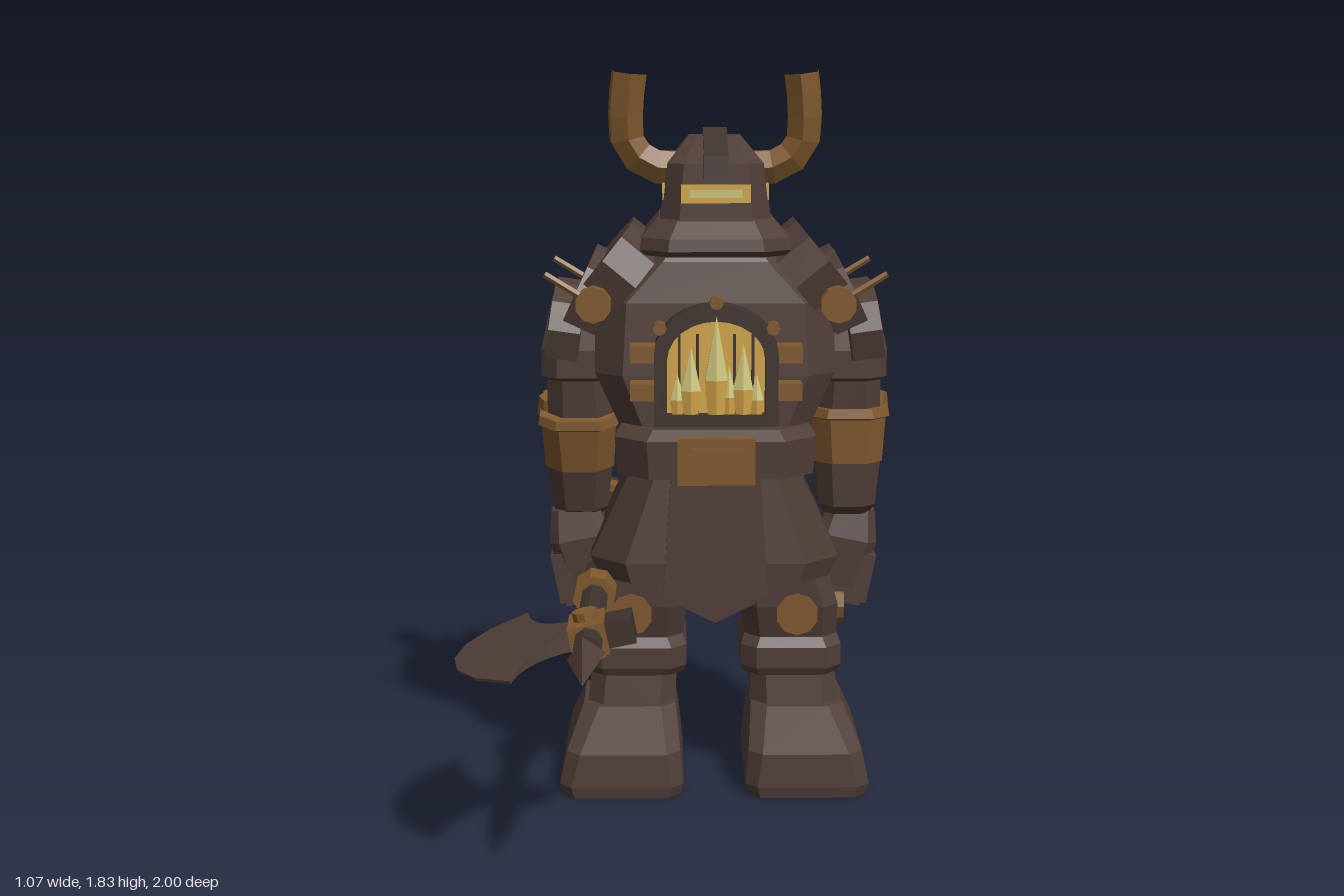
import * as THREE from 'three';

const mat = (name, color) => Object.assign(new THREE.MeshStandardMaterial({ color, flatShading: true }), { name });

export function createModel() {
  const iron = mat('dark iron', 0x503e38), shade = mat('shadow iron', 0x40332e);
  const bronze = mat('bronze', 0x80592e), gold = mat('fire gold', 0xd3a54a), pale = mat('pale flame', 0xcbc27a);
  const skirtMat = mat('skirt iron', 0x4d3b35);
  skirtMat.side = THREE.DoubleSide;
  const model = new THREE.Group();
  const body = new THREE.Group();
  body.name = 'body';
  body.position.x = 0.085;
  model.add(body);

  const add = (parent, name, geo, m, x = 0, y = 0, z = 0) => {
    const mesh = new THREE.Mesh(geo, m);
    mesh.name = name;
    mesh.position.set(x, y, z);
    parent.add(mesh);
    return mesh;
  };
  const box = (p, name, m, w, h, d, x, y, z) => add(p, name, new THREE.BoxGeometry(w, h, d), m, x, y, z);
  const cyl = (r1, r2, h, n = 8) => new THREE.CylinderGeometry(r1, r2, h, n);

  // Stacked chamfered rectangles; each row is [y, halfWidth, zFront, zBack, chamfer, centreX]
  const loft = (rows, caps = true) => {
    const pos = [], idx = [];
    for (const [y, w, f, b, c, cx = 0] of rows)
      for (const [x, z] of [[c - w, f], [w - c, f], [w, f - c], [w, b + c], [w - c, b], [c - w, b], [-w, b + c], [-w, f - c]])
        pos.push(cx + x, y, z);
    for (let k = 0; k < rows.length - 1; k++)
      for (let i = 0; i < 8; i++) {
        const a = k * 8 + i, b = k * 8 + (i + 1) % 8;
        idx.push(a, b, b + 8, a, b + 8, a + 8);
      }
    const t = (rows.length - 1) * 8;
    if (caps) for (let i = 1; i < 7; i++) idx.push(t, t + i, t + i + 1, 0, i + 1, i);
    const g = new THREE.BufferGeometry();
    g.setAttribute('position', new THREE.Float32BufferAttribute(pos, 3));
    g.setIndex(idx);
    const flat = g.toNonIndexed();
    flat.computeVertexNormals();
    return flat;
  };
  const poly = pts => new THREE.Shape(pts.map(p => new THREE.Vector2(...p)));
  const slab = (shape, depth, bevel = 0) => new THREE.ExtrudeGeometry(shape, {
    depth, bevelEnabled: bevel > 0, bevelSize: bevel, bevelThickness: bevel, bevelSegments: 1, curveSegments: 6 });
  // Both sides from one builder: +x is the model's left
  const pair = (name, build) => [1, -1].forEach(s => {
    const g = new THREE.Group();
    g.name = (s > 0 ? 'left' : 'right') + name;
    g.scale.x = s;
    body.add(g);
    build(g, s);
  });

  // Torso, collar and back plate
  add(body, 'torso', loft([[0.78, 0.2, 0.17, -0.17, 0.05], [0.95, 0.24, 0.19, -0.19, 0.06], [1.08, 0.3, 0.19, -0.22, 0.07],
    [1.26, 0.3, 0.18, -0.22, 0.08], [1.36, 0.2, 0.16, -0.19, 0.07], [1.42, 0.14, 0.13, -0.14, 0.05]]), iron);
  add(body, 'collar', loft([[1.375, 0.175, 0.2, -0.16, 0.06], [1.39, 0.187, 0.225, -0.18, 0.07],
    [1.42, 0.183, 0.22, -0.18, 0.07], [1.47, 0.14, 0.17, -0.14, 0.05]]), iron);
  add(body, 'backPlate', slab(poly([[-0.13, 0.95], [0.13, 0.95], [0.16, 1.02], [0.16, 1.23], [0.11, 1.31], [-0.11, 1.31],
    [-0.16, 1.23], [-0.16, 1.02]]), 0.04, 0.015), iron, 0, 0, -0.245);

  // Helmet with crest and glowing visor
  add(body, 'helmet', loft([[1.43, 0.142, 0.18, -0.14, 0.05], [1.6, 0.118, 0.175, -0.13, 0.04], [1.665, 0.065, 0.05, -0.06, 0.02]]), iron);
  const crest = add(body, 'crest', slab(poly([[-0.187, 1.565], [-0.183, 1.62], [-0.04, 1.685], [0.04, 1.675], [0.04, 1.6]]), 0.06), shade, -0.03);
  crest.rotation.y = Math.PI / 2;
  box(body, 'visor', gold, 0.17, 0.045, 0.012, 0, 1.528, 0.178);
  box(body, 'visorGlow', pale, 0.13, 0.02, 0.012, 0, 1.528, 0.181);
  pair('VisorSide', g => box(g, 'visorSide', gold, 0.01, 0.04, 0.06, 0.126, 1.53, 0.105));

  // Horns: square sections swept along a curve
  pair('Horn', g => {
    const path = new THREE.CatmullRomCurve3([[0.09, 1.585, 0.055], [0.16, 1.593, 0.06], [0.213, 1.64, 0.065],
      [0.222, 1.72, 0.075], [0.212, 1.82, 0.085]].map(p => new THREE.Vector3(...p)));
    add(g, 'horn', new THREE.TubeGeometry(path, 6, 0.047, 6), bronze);
    const tip = add(g, 'hornTip', new THREE.CircleGeometry(0.047, 6), bronze, 0.212, 1.82, 0.085);
    tip.rotation.x = -Math.PI / 2;
  });

  // Furnace window in the chest
  const arch = (Path, w, y0, y1) => {
    const p = new Path();
    p.moveTo(-w, y0);
    p.lineTo(w, y0);
    p.lineTo(w, y1 - w * 0.8);
    p.absellipse(0, y1 - w * 0.8, w, w * 0.8, 0, Math.PI, false);
    p.lineTo(-w, y0);
    return p;
  };
  const frame = arch(THREE.Shape, 0.152, 0.965, 1.265);
  frame.holes.push(arch(THREE.Path, 0.12, 0.995, 1.225));
  add(body, 'windowFrame', slab(frame, 0.11), shade, 0, 0, 0.15);
  add(body, 'windowGlow', slab(arch(THREE.Shape, 0.125, 0.99, 1.23), 0.01), gold, 0, 0, 0.215);
  for (const x of [-0.09, -0.045, 0, 0.045, 0.09]) box(body, 'windowBar', shade, 0.007, 0.2, 0.01, x, 1.09, 0.23);
  [[0, 0.24, 0.032], [-0.062, 0.165, 0.028], [0.065, 0.175, 0.028], [-0.095, 0.1, 0.02], [0.098, 0.1, 0.02], [0.03, 0.12, 0.022]]
    .forEach(([x, h, r]) => {
      const base = add(body, 'flameBase', cyl(r, r * 0.75, h * 0.35, 6), gold, x, 1 + h * 0.175, 0.27);
      const top = add(body, 'flameTip', cyl(0, r, h * 0.65, 6), pale, x, 1 + h * 0.675, 0.27);
      base.scale.z = top.scale.z = 0.75;
    });
  for (const [x, y] of [[0, 1.27], [-0.138, 1.208], [0.138, 1.208]])
    add(body, 'rivet', cyl(0.017, 0.017, 0.03), bronze, x, y, 0.25).rotation.x = Math.PI / 2;
  pair('Straps', g => [1.05, 1.143].forEach(y => box(g, 'strap', bronze, 0.075, 0.042, 0.09, 0.173, y, 0.21)));

  // Belt, buckle, tabards and skirt
  add(body, 'belt', loft([[0.835, 0.245, 0.265, -0.21, 0.08], [0.93, 0.25, 0.27, -0.215, 0.08], [0.955, 0.235, 0.24, -0.2, 0.08]]), iron);
  box(body, 'buckle', bronze, 0.19, 0.115, 0.04, 0, 0.885, 0.28);
  box(body, 'buckleFace', bronze, 0.13, 0.07, 0.03, 0, 0.885, 0.297);
  const tabard = poly([[-0.13, 0.53], [0, 0.465], [0.13, 0.53], [0.11, 0.86], [-0.11, 0.86]]);
  add(body, 'frontTabard', slab(tabard, 0.03), iron, 0, 0, 0.215);
  add(body, 'backTabard', slab(tabard, 0.03), iron, 0, 0, -0.22);
  add(body, 'skirt', loft([[0.56, 0.29, 0.22, -0.2, 0.08], [0.61, 0.315, 0.22, -0.2, 0.09], [0.86, 0.2, 0.19, -0.18, 0.06]], false), skirtMat);

  // Legs
  pair('Leg', g => {
    add(g, 'thigh', loft([[0.36, 0.118, 0.09, -0.16, 0.04, 0.2], [0.47, 0.125, 0.12, -0.16, 0.04, 0.195],
      [0.82, 0.09, 0.13, -0.14, 0.04, 0.13]]), iron);
    add(g, 'shin', loft([[0.17, 0.115, 0.09, -0.155, 0.04, 0.215], [0.31, 0.11, 0.07, -0.15, 0.04, 0.205]]), iron);
    add(g, 'greave', loft([[0.285, 0.122, 0.105, -0.165, 0.04, 0.2], [0.305, 0.13, 0.115, -0.175, 0.04, 0.2],
      [0.36, 0.13, 0.115, -0.175, 0.04, 0.2], [0.385, 0.12, 0.1, -0.165, 0.04, 0.2]]), iron);
    add(g, 'boot', loft([[0, 0.15, 0.235, -0.165, 0.03, 0.237], [0.03, 0.158, 0.24, -0.17, 0.03, 0.237],
      [0.115, 0.145, 0.235, -0.168, 0.035, 0.232], [0.2, 0.12, 0.105, -0.155, 0.04, 0.218]]), iron);
    add(g, 'kneeDisc', cyl(0.055, 0.055, 0.29, 10), bronze, 0.213, 0.452, -0.02).rotation.x = Math.PI / 2;
    add(g, 'kneeCap', cyl(0.055, 0.055, 0.05, 10), bronze, 0.315, 0.45, -0.01).rotation.z = Math.PI / 2;
  });

  // Arms with layered shoulder plates
  pair('Arm', (g, s) => {
    // [x, y, tilt in degrees, height, thickness, half depth]
    [[0.245, 1.24, 39.5, 0.19, 0.105, 0.205], [0.3, 1.18, 25, 0.185, 0.085, 0.2], [0.345, 1.11, 8, 0.18, 0.08, 0.175]]
      .forEach(([x, y, a, h, t, d]) => {
        const shape = poly([[-d * 0.9, 0], [d * 0.9, 0], [d, h * 0.4], [d * 0.8, h * 0.78], [d * 0.4, h],
          [-d * 0.4, h], [-d * 0.8, h * 0.78], [-d, h * 0.4]]);
        add(g, 'shoulderPlate', slab(shape, t), iron, x, y, -0.015).rotation.set(0, Math.PI / 2, a * Math.PI / 180, 'ZYX');
      });
    for (const z of [0.2, -0.225]) {
      add(g, 'shoulderStud', cyl(0.045, 0.045, 0.04, 10), bronze, 0.3, 1.26, z).rotation.x = Math.PI / 2;
      add(g, 'shoulderPin', cyl(0.009, 0.011, 0.15, 6), bronze, 0.355, 1.295, z).rotation.z = -1.02;
    }
    add(g, 'upperArm', loft([[0.93, 0.085, 0.07, -0.14, 0.04, 0.34], [1.05, 0.08, 0.08, -0.14, 0.04, 0.345],
      [1.06, 0.093, 0.095, -0.155, 0.04, 0.345], [1.13, 0.093, 0.095, -0.155, 0.04, 0.345], [1.26, 0.08, 0.07, -0.13, 0.04, 0.33]]), iron);

    // Forearm, with the weapon arm tipped forwards
    const fore = new THREE.Group();
    fore.name = 'forearm';
    fore.position.set(0.345, 0.9, -0.05);
    if (s < 0) fore.rotation.x = 0.2;
    g.add(fore);
    add(fore, 'elbowBand', loft([[-0.065, 0.088, 0.125, -0.125, 0.045], [0.05, 0.095, 0.132, -0.132, 0.045],
      [0.055, 0.104, 0.14, -0.14, 0.045], [0.078, 0.1, 0.135, -0.135, 0.045]]), bronze);
    add(fore, 'elbowStud', cyl(0.05, 0.055, 0.05), bronze, 0.055, 0.08, 0.02);
    add(fore, 'vambrace', loft([[-0.205, 0.06, 0.085, -0.085, 0.03], [-0.18, 0.072, 0.11, -0.11, 0.035], [-0.05, 0.085, 0.12, -0.12, 0.04]]), iron);

    // Fist with four curled fingers
    const hand = new THREE.Group();
    hand.name = 'hand';
    hand.position.set(0.335, 0.57, -0.045);
    hand.rotation.z = -0.2;
    g.add(hand);
    add(hand, 'palm', loft([[-0.08, 0.06, 0.07, -0.07, 0.02], [0.06, 0.08, 0.078, -0.078, 0.025], [0.14, 0.06, 0.06, -0.06, 0.02]]), iron);
    for (let i = 0; i < 4; i++) {
      const z = (i - 1.5) * 0.038;
      box(hand, 'finger', iron, 0.045, 0.13, 0.033, 0.062, -0.035, z);
      box(hand, 'fingertip', iron, 0.1, 0.04, 0.033, 0.02, -0.09, z);
    }
    box(hand, 'thumb', iron, 0.035, 0.12, 0.045, -0.075, 0, 0.05);
  });

  // Long axe pointing forwards
  const axe = new THREE.Group();
  axe.name = 'axe';
  axe.position.set(-0.215, 0.545, 0);
  axe.rotation.z = 0.2;
  model.add(axe);
  const rod = (name, m, r1, r2, z0, z1, n = 8) => {
    add(axe, name, cyl(r2, r1, z1 - z0, n), m, 0, 0, (z0 + z1) / 2).rotation.x = Math.PI / 2;
  };
  rod('shaft', shade, 0.034, 0.034, -0.9, 0.74);
  rod('buttEnd', shade, 0.03, 0.045, -1, -0.97);
  rod('buttCap', shade, 0.045, 0.045, -0.97, -0.88);
  rod('buttRing', bronze, 0.054, 0.054, -0.89, -0.805);
  rod('gripRing', bronze, 0.054, 0.054, 0.205, 0.295);
  rod('spikeNeck', shade, 0.024, 0.024, 0.68, 0.76, 6);
  rod('spikeBase', iron, 0.022, 0.044, 0.72, 0.785, 4);
  rod('spike', iron, 0.044, 0, 0.785, 1, 4);
  box(axe, 'headCollar', bronze, 0.085, 0.075, 0.13, 0, 0, 0.61);
  add(axe, 'headRivet', cyl(0.03, 0.03, 0.115, 10), bronze, 0, 0, 0.61);
  box(axe, 'poll', shade, 0.07, 0.06, 0.095, 0.07, 0, 0.61);
  // Blade: thick at the neck, thinning to a sharp curved edge
  const blade = new THREE.Shape();
  blade.moveTo(0.03, -0.05);
  blade.quadraticCurveTo(0.14, -0.08, 0.165, -0.275);
  blade.bezierCurveTo(0.37, -0.14, 0.37, 0.14, 0.165, 0.27);
  blade.quadraticCurveTo(0.14, 0.08, 0.03, 0.05);
  const bladeGeo = slab(blade, 1);
  const p = bladeGeo.attributes.position;
  for (let i = 0; i < p.count; i++) {
    const x = p.getX(i), y = p.getY(i);
    const thick = 0.026 * Math.max(0.12, 1 - Math.hypot(x, y) / 0.32);
    p.setXYZ(i, -x, (p.getZ(i) - 0.5) * 2 * thick, y + 0.6);
  }
  bladeGeo.computeVertexNormals();
  add(axe, 'blade', bladeGeo, iron);
  return model;
}
